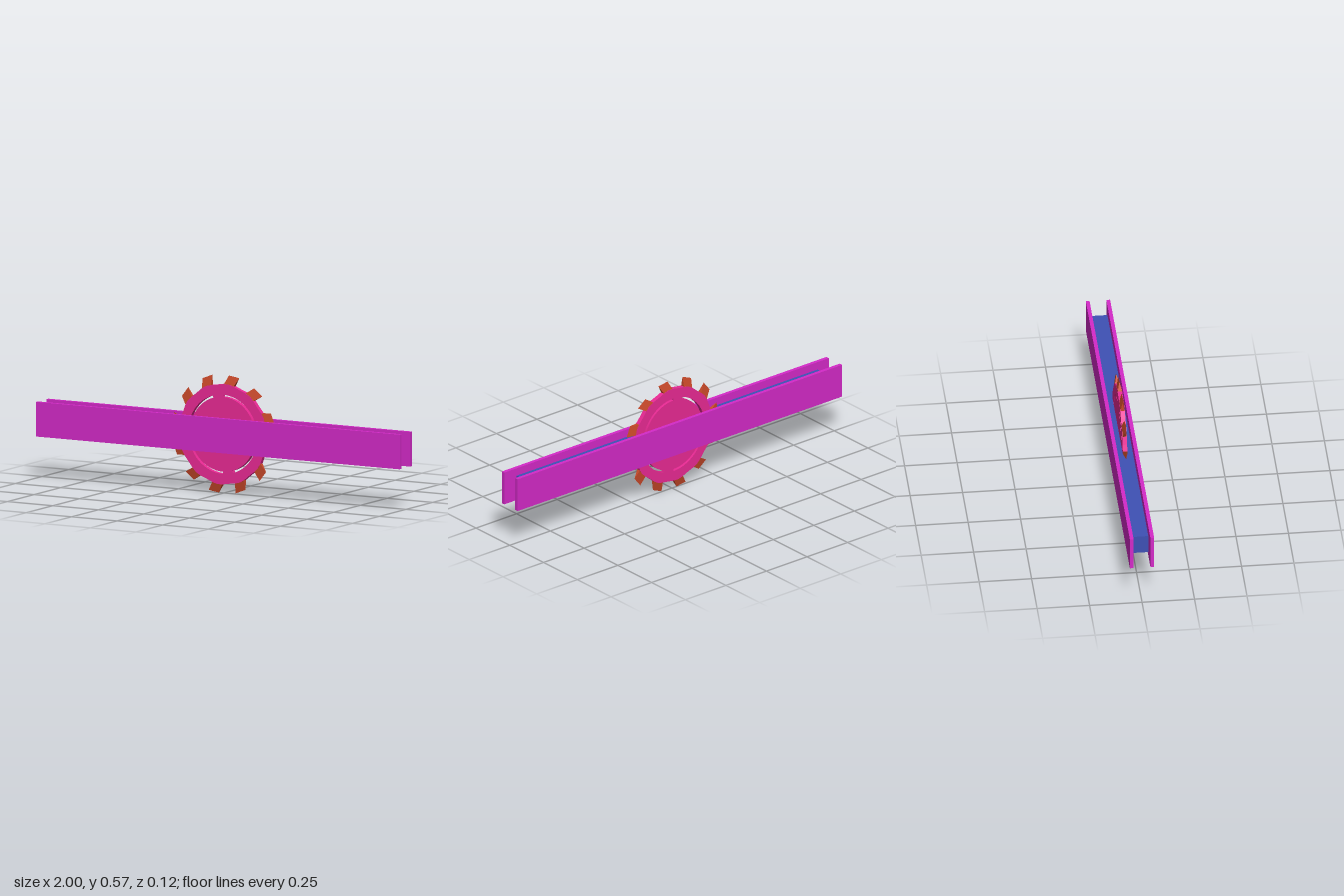
import * as THREE from 'three';

const CY = 0.285;      // height of the blade axle
const HALF = 0.011;    // half thickness of the blade
const TEETH = 12;
const STEP = (Math.PI * 2) / TEETH;
const rad = THREE.MathUtils.degToRad;

const paint = (color) => new THREE.MeshStandardMaterial({ color, flatShading: true });
const polar = (r, deg, z = 0) => [r * Math.cos(rad(deg)), r * Math.sin(rad(deg)), z];

function box(name, size, z, material) {
  const mesh = new THREE.Mesh(new THREE.BoxGeometry(...size), material);
  mesh.name = name;
  mesh.position.set(0, CY, z);
  return mesh;
}

// Disc with a slightly dipped rim between teeth and four curved slots
function bladeGeometry() {
  const rim = [];
  for (let i = 0; i < TEETH; i++) {
    for (const [r, deg] of [[0.24, 16], [0.243, 22.5], [0.241, 29], [0.237, 38]]) {
      const [x, y] = polar(r, deg + i * 30);
      rim.push(new THREE.Vector2(x, y));
    }
  }
  const shape = new THREE.Shape(rim);
  for (let i = 0; i < 4; i++) {
    const a = rad(17 + i * 90), b = rad(90 + i * 90);
    const slot = new THREE.Path();
    slot.absarc(0, 0, 0.19, a, b, false);
    slot.absarc(0, 0, 0.179, b, a, true);
    slot.closePath();
    shape.holes.push(slot);
  }
  const geometry = new THREE.ExtrudeGeometry(shape, { depth: 2 * HALF, bevelEnabled: false, curveSegments: 16 });
  return geometry.translate(0, 0, -HALF);
}

// Raked wedge: full thickness at the rim, sharpened to a ridge outside
function toothGeometry() {
  const geometry = new THREE.BufferGeometry();
  const corners = [
    polar(0.238, 16, HALF), polar(0.238, 16, -HALF),
    polar(0.238, 29, HALF), polar(0.238, 29, -HALF),
    polar(0.287, 13), polar(0.284, 24.5),
  ];
  const faces = [0, 4, 5, 0, 5, 2, 1, 5, 4, 1, 3, 5, 0, 1, 4, 3, 2, 5, 0, 2, 3, 0, 3, 1];
  geometry.setAttribute('position', new THREE.Float32BufferAttribute(corners.flat(), 3));
  geometry.setIndex(faces);
  const flat = geometry.toNonIndexed();
  flat.computeVertexNormals();
  return flat;
}

export function createModel() {
  const model = new THREE.Group();
  model.name = 'sawBladeTrap';

  // Two side rails and the core beam between them
  const railPaint = paint(0xd42ac8);
  model.add(box('frontRail', [2, 0.166, 0.018], 0.049, railPaint));
  model.add(box('backRail', [2, 0.166, 0.018], -0.049, railPaint));
  model.add(box('coreBeam', [1.855, 0.092, 0.075], 0, paint(0x3f51b5)));

  // Circular blade with its ring of teeth
  const saw = new THREE.Group();
  saw.name = 'sawBlade';
  saw.position.y = CY;
  const disc = new THREE.Mesh(bladeGeometry(), paint(0xe92a94));
  disc.name = 'bladeDisc';
  saw.add(disc);
  const tooth = toothGeometry();
  const toothPaint = paint(0xcc4a2a);
  for (let i = 0; i < TEETH; i++) {
    const mesh = new THREE.Mesh(tooth, toothPaint);
    mesh.name = 'tooth';
    mesh.rotation.z = i * STEP;
    saw.add(mesh);
  }
  model.add(saw);
  return model;
}
